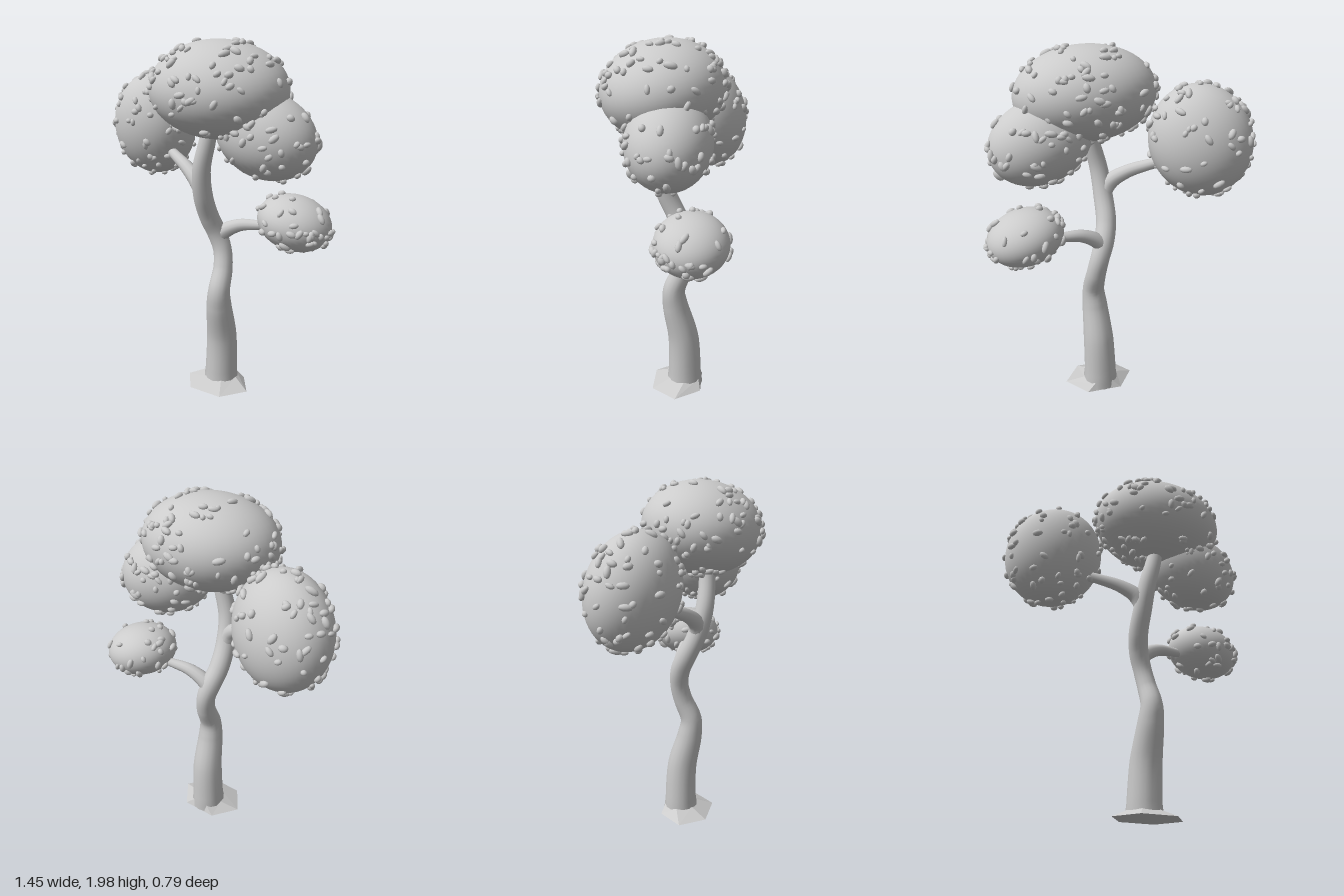
import * as THREE from 'three';
import { mergeGeometries } from 'three/addons/utils/BufferGeometryUtils.js';

// Small seeded generator so the bumps always land in the same places
function seeded(seed) {
  let s = seed;
  return () => {
    s = (s * 16807) % 2147483647;
    return s / 2147483647;
  };
}

// Tube through [x, y, z, radius] points, with the radius varying along its length
function limb(name, points, material, segments, sides = 16) {
  const curve = new THREE.CatmullRomCurve3(points.map(p => new THREE.Vector3(p[0], p[1], p[2])));
  const geo = new THREE.TubeGeometry(curve, segments, 1, sides);
  const pos = geo.attributes.position;
  const v = new THREE.Vector3();
  for (let i = 0; i <= segments; i++) {
    const u = i / segments;
    const centre = curve.getPointAt(u);
    const t = curve.getUtoTmapping(u) * (points.length - 1);
    const k = Math.min(Math.floor(t), points.length - 2);
    const r = THREE.MathUtils.lerp(points[k][3], points[k + 1][3], t - k);
    for (let j = 0; j <= sides; j++) {
      const n = i * (sides + 1) + j;
      v.fromBufferAttribute(pos, n).sub(centre).multiplyScalar(r).add(centre);
      pos.setXYZ(n, v.x, v.y, v.z);
    }
  }
  const mesh = new THREE.Mesh(geo, material);
  mesh.name = name;
  return mesh;
}

// Ellipsoid of foliage with little leaf bumps lying on its surface
function foliage({ name, centre, radii, tilt, bumps, seed }, material) {
  const group = new THREE.Group();
  group.name = name;
  group.position.set(...centre);
  group.rotation.set(...tilt);

  const ball = new THREE.Mesh(new THREE.SphereGeometry(1, 40, 28).scale(...radii), material);
  ball.name = name + 'Ball';
  group.add(ball);

  const rand = seeded(seed);
  const leaf = new THREE.SphereGeometry(1, 10, 7);
  const up = new THREE.Vector3(0, 1, 0);
  const leaves = [];
  for (let i = 0; i < bumps; i++) {
    const y = rand() * 2 - 1;
    const a = rand() * Math.PI * 2;
    const ring = Math.sqrt(1 - y * y);
    const unit = new THREE.Vector3(ring * Math.cos(a), y, ring * Math.sin(a));
    const spot = unit.clone().multiply(new THREE.Vector3(...radii));
    const normal = unit.divide(new THREE.Vector3(...radii)).normalize();
    const q = new THREE.Quaternion().setFromUnitVectors(up, normal)
      .multiply(new THREE.Quaternion().setFromAxisAngle(up, rand() * Math.PI * 2));
    const size = 0.85 + rand() * 0.4;
    const scale = new THREE.Vector3(0.017 + rand() * 0.013, 0.015, 0.015).multiplyScalar(size);
    spot.addScaledVector(normal, 0.004);
    leaves.push(leaf.clone().applyMatrix4(new THREE.Matrix4().compose(spot, q, scale)));
  }
  const leafMesh = new THREE.Mesh(mergeGeometries(leaves), material);
  leafMesh.name = name + 'Leaves';
  group.add(leafMesh);
  return group;
}

export function createModel() {
  const tree = new THREE.Group();
  tree.name = 'tree';
  const grey = new THREE.MeshStandardMaterial({ color: 0xcccccc });
  const faceted = new THREE.MeshStandardMaterial({ color: 0xcccccc, flatShading: true });

  // Six-sided root flare, its top shifted back under the trunk
  const flareGeo = new THREE.CylinderGeometry(0.1, 0.2, 0.045, 6, 1, false, Math.PI / 2);
  const p = flareGeo.attributes.position;
  for (let i = 0; i < p.count; i++) {
    const top = p.getY(i) > 0;
    p.setZ(i, p.getZ(i) * (top ? 0.95 : 0.8) + (top ? -0.07 : -0.028));
  }
  flareGeo.translate(0.1, 0.0225, 0);
  const flare = new THREE.Mesh(flareGeo, faceted);
  flare.name = 'rootFlare';
  tree.add(flare);

  // Winding trunk
  tree.add(limb('trunk', [
    [0.1, 0.005, -0.068, 0.105],
    [0.1, 0.08, -0.069, 0.094],
    [0.107, 0.3, -0.06, 0.088],
    [0.115, 0.5, -0.015, 0.073],
    [0.12, 0.6, -0.008, 0.062],
    [0.115, 0.72, -0.055, 0.055],
    [0.098, 0.82, -0.074, 0.053],
    [0.068, 0.92, -0.06, 0.056],
    [0.045, 1.02, -0.015, 0.056],
    [0.045, 1.15, 0.045, 0.054],
    [0.06, 1.3, 0.082, 0.05],
    [0.1, 1.46, 0.085, 0.045],
    [0.13, 1.62, 0.07, 0.038],
  ], grey, 64));

  // Side branches
  tree.add(limb('leftBranch', [
    [0.06, 0.86, -0.065, 0.04],
    [0.1, 0.92, -0.07, 0.046],
    [0.2, 0.975, -0.085, 0.035],
    [0.32, 0.99, -0.105, 0.026],
    [0.42, 1.0, -0.12, 0.022],
  ], grey, 24, 12));
  tree.add(limb('rightBranch', [
    [0.05, 1.13, 0.04, 0.04],
    [0.01, 1.22, 0.045, 0.046],
    [-0.08, 1.285, 0.015, 0.037],
    [-0.2, 1.335, -0.04, 0.03],
    [-0.32, 1.38, -0.1, 0.025],
  ], grey, 24, 12));

  // Foliage clumps
  const clumps = [
    { name: 'topFoliage', centre: [0.14, 1.725, 0.045], radii: [0.38, 0.25, 0.325], tilt: [0.12, 0, -0.05], bumps: 150, seed: 11 },
    { name: 'rightFoliage', centre: [-0.435, 1.485, -0.16], radii: [0.275, 0.3, 0.22], tilt: [0.15, -0.3, -0.35], bumps: 105, seed: 257 },
    { name: 'leftFoliage', centre: [0.395, 1.5, -0.008], radii: [0.28, 0.22, 0.22], tilt: [0, 0, -0.35], bumps: 95, seed: 4021 },
    { name: 'lowFoliage', centre: [0.515, 1.03, -0.13], radii: [0.205, 0.145, 0.19], tilt: [0, 0, -0.25], bumps: 55, seed: 90001 },
  ];
  for (const clump of clumps) tree.add(foliage(clump, grey));
  return tree;
}
